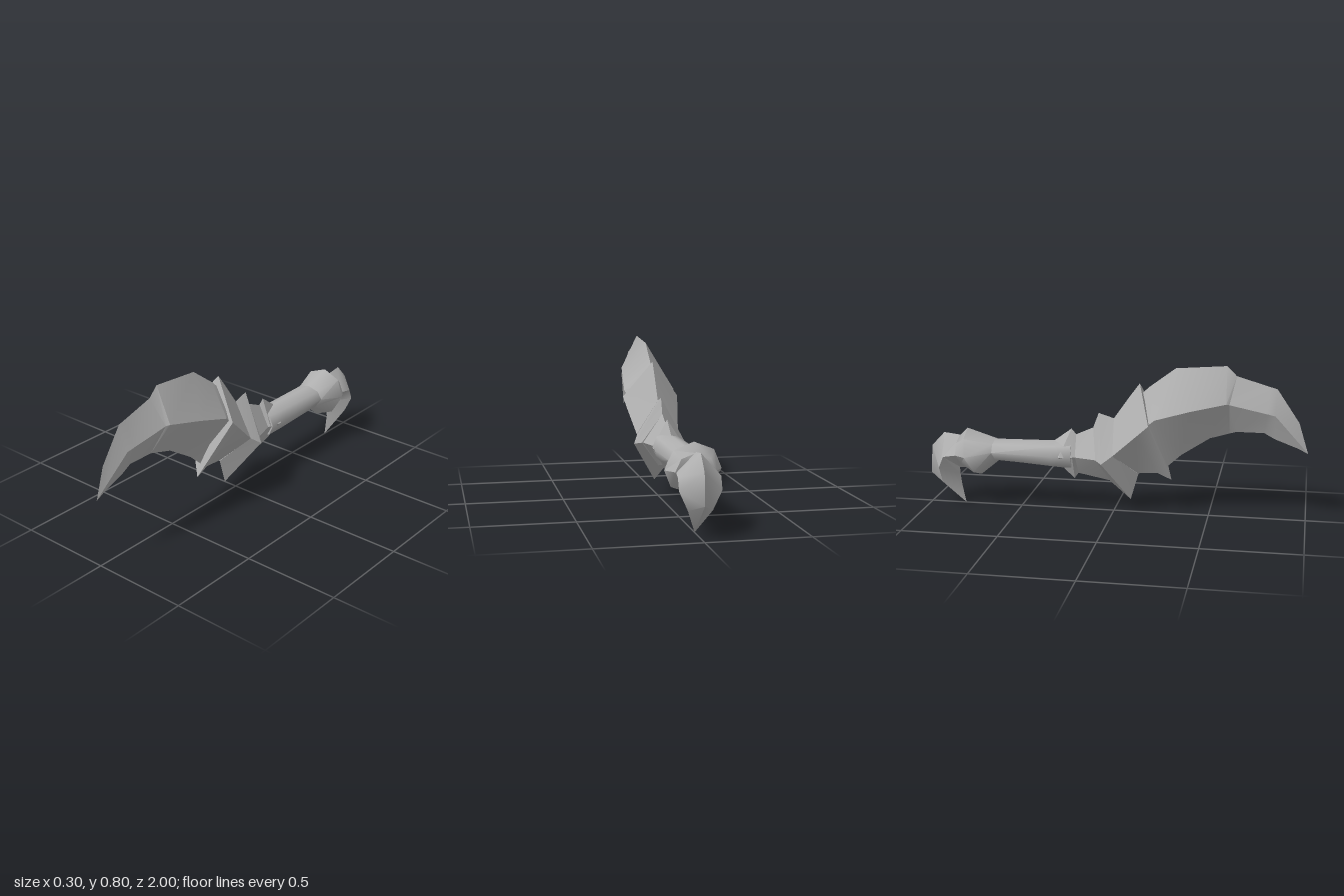
import * as THREE from 'three';
import { toCreasedNormals } from 'three/addons/utils/BufferGeometryUtils.js';

// Lofts symmetric rings, listed front to back.
// Each ring is [topZ, topY, sideZ, sideY, sideX, bottomZ, bottomY].
function loft(rings, sides, crease) {
  const pos = [], index = [];
  for (const [tz, ty, sz, sy, sx, bz, by] of rings) {
    for (let j = 0; j < sides; j++) {
      const a = (j / sides) * Math.PI * 2, c = Math.cos(a);
      const [ez, ey] = c > 0 ? [tz, ty] : [bz, by];
      pos.push(Math.sin(a) * sx, sy + (ey - sy) * Math.abs(c), sz + (ez - sz) * Math.abs(c));
    }
  }
  const point = (i) => new THREE.Vector3().fromArray(pos, i * 3);
  const tri = (a, b, c) => {
    const area = new THREE.Triangle(point(a), point(b), point(c)).getArea();
    if (area > 1e-7) index.push(a, b, c);
  };
  for (let i = 0; i < rings.length - 1; i++) {
    for (let j = 0; j < sides; j++) {
      const a = i * sides + j, b = i * sides + ((j + 1) % sides);
      tri(a, b, a + sides);
      tri(b, b + sides, a + sides);
    }
  }
  // End caps around a centre point at the side height
  [0, rings.length - 1].forEach((r, end) => {
    const centre = pos.length / 3;
    pos.push(0, rings[r][3], rings[r][2]);
    for (let j = 0; j < sides; j++) {
      const a = r * sides + j, b = r * sides + ((j + 1) % sides);
      if (end) tri(centre, a, b);
      else tri(centre, b, a);
    }
  });
  const geo = new THREE.BufferGeometry();
  geo.setAttribute('position', new THREE.Float32BufferAttribute(pos, 3));
  geo.setIndex(index);
  return toCreasedNormals(geo, crease);
}

export function createModel() {
  const group = new THREE.Group();
  const grey = new THREE.MeshStandardMaterial({ color: 0xb0b0b0 });
  grey.name = 'grey';
  const add = (name, sides, crease, rings) => {
    const mesh = new THREE.Mesh(loft(rings, sides, crease), grey);
    mesh.name = name;
    group.add(mesh);
  };

  // Curved blade with a diamond section and a stepped spine
  add('blade', 4, 0.5, [
    [1, 0.36, 1, 0.36, 0, 1, 0.36],
    [0.95, 0.52, 0.95, 0.42, 0.013, 0.95, 0.385],
    [0.835, 0.69, 0.83, 0.56, 0.043, 0.83, 0.43],
    [0.80, 0.70, 0.79, 0.57, 0.048, 0.775, 0.46],
    [0.63, 0.75, 0.60, 0.615, 0.072, 0.635, 0.46],
    [0.58, 0.80, 0.585, 0.62, 0.086, 0.60, 0.45],
    [0.32, 0.78, 0.40, 0.58, 0.113, 0.50, 0.42],
    [0.187, 0.68, 0.23, 0.535, 0.135, 0.355, 0.325],
    [0.10, 0.60, 0.10, 0.42, 0.08, 0.25, 0.23],
  ]);

  // Swept collar gripping the blade root
  add('bladeCollar', 4, 0.5, [
    [0.135, 0.695, 0.20, 0.505, 0.148, 0.305, 0.187],
    [0.08, 0.62, 0.14, 0.45, 0.137, 0.23, 0.22],
    [0, 0.505, 0.01, 0.33, 0.11, 0.12, 0.213],
  ]);

  // Guard with a pointed lower spike
  add('guard', 4, 0.5, [
    [0, 0.505, 0.01, 0.33, 0.108, 0.13, 0.21],
    [-0.08, 0.53, -0.045, 0.29, 0.135, 0.09, 0.07],
    [-0.11, 0.45, -0.08, 0.30, 0.10, -0.02, 0.165],
  ]);

  // Tapered neck behind the guard
  add('neck', 4, 0.5, [
    [-0.09, 0.46, -0.06, 0.30, 0.10, -0.01, 0.165],
    [-0.20, 0.41, -0.20, 0.30, 0.06, -0.19, 0.20],
  ]);

  // Small pointed ferrule
  add('ferrule', 4, 0.5, [
    [-0.20, 0.41, -0.19, 0.30, 0.058, -0.19, 0.20],
    [-0.225, 0.44, -0.21, 0.30, 0.066, -0.21, 0.17],
    [-0.32, 0.37, -0.28, 0.30, 0.082, -0.265, 0.22],
  ]);

  // Rounded grip
  add('grip', 8, 1, [
    [-0.22, 0.375, -0.22, 0.30, 0.074, -0.22, 0.222],
    [-0.32, 0.372, -0.32, 0.30, 0.08, -0.32, 0.228],
    [-0.64, 0.367, -0.64, 0.31, 0.087, -0.62, 0.25],
  ]);

  // Flared ring at the end of the grip
  add('gripFlare', 8, 0.9, [
    [-0.64, 0.367, -0.64, 0.31, 0.087, -0.62, 0.25],
    [-0.79, 0.42, -0.775, 0.29, 0.135, -0.72, 0.167],
    [-0.835, 0.375, -0.835, 0.29, 0.097, -0.80, 0.22],
  ]);

  // Beaked pommel curling down to a point
  add('pommel', 4, 1, [
    [-0.82, 0.378, -0.82, 0.29, 0.09, -0.80, 0.20],
    [-0.92, 0.39, -0.90, 0.28, 0.10, -0.84, 0.20],
    [-0.99, 0.315, -0.925, 0.22, 0.099, -0.838, 0.16],
    [-1, 0.165, -0.92, 0.13, 0.058, -0.83, 0.10],
    [-0.81, 0.003, -0.81, 0.003, 0, -0.81, 0.003],
  ]);

  return group;
}
